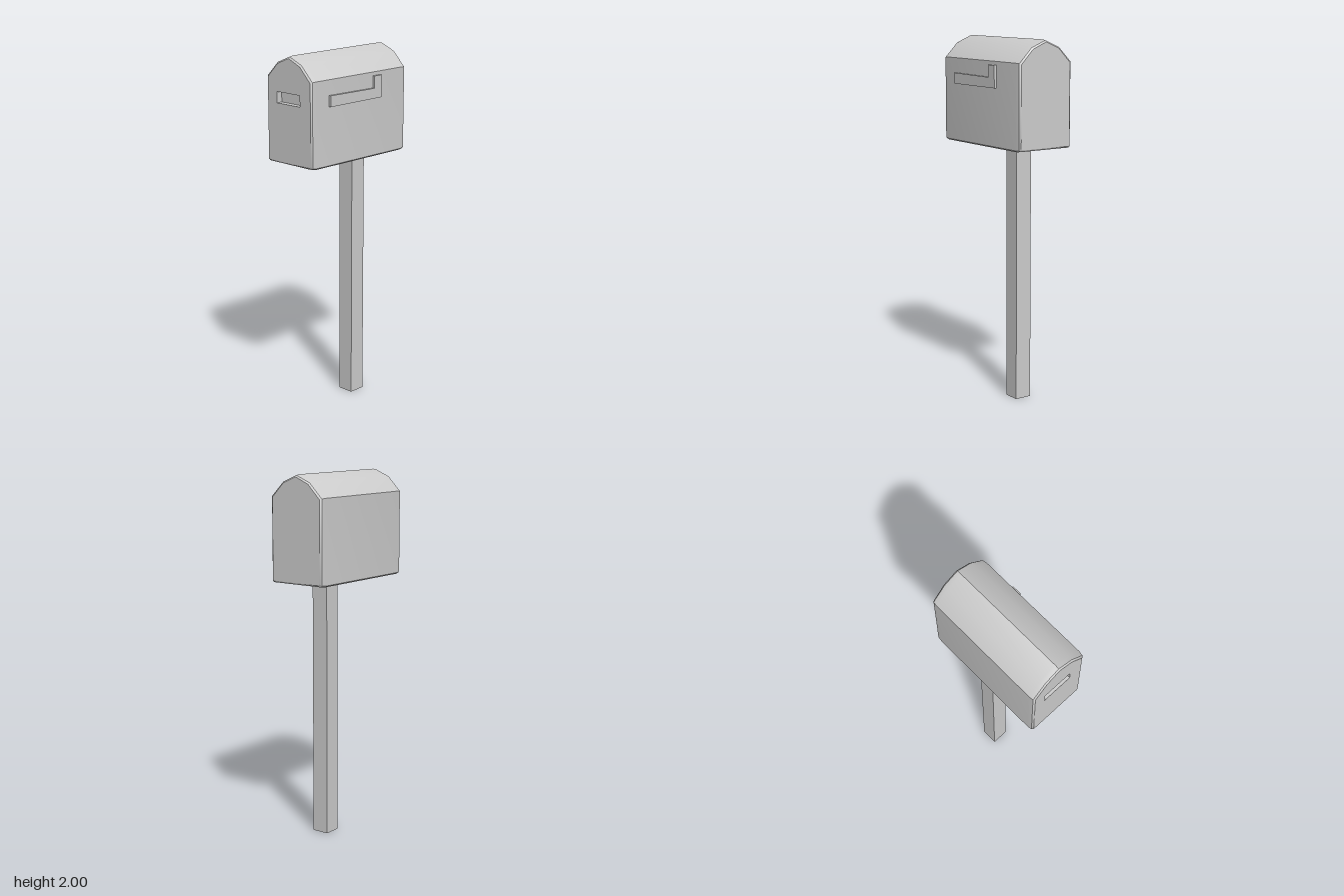
import * as THREE from 'three';
import { toCreasedNormals } from 'three/addons/utils/BufferGeometryUtils.js';

const material = new THREE.MeshStandardMaterial({ color: 0xcccccc });

// Half of the arched box section, bottom to ridge, then mirrored
const half = [[0.162, 1.42], [0.17, 1.428], [0.17, 1.883], [0.09, 1.963], [0, 2]];
const section = [...half, ...half.slice(0, -1).reverse().map(([x, y]) => [-x, y])];
const slot = [[-0.091, 1.745], [0.081, 1.745], [0.081, 1.805], [-0.091, 1.805]];

const inset = (d) => section.map(([x, y]) => [x * (1 - d / 0.17), 1.71 + (y - 1.71) * (1 - d / 0.29)]);
const path = (points, Type = THREE.Shape) => new Type(points.map(([x, y]) => new THREE.Vector2(x, y)));

// Joins closed outlines, each { points, z }, into a tube
function loft(rings) {
  const n = rings[0].points.length;
  const positions = rings.flatMap(({ points, z }) => points.flatMap(([x, y]) => [x, y, z]));
  const index = [];
  for (let r = 0; r < rings.length - 1; r++) {
    for (let j = 0; j < n; j++) {
      const a = r * n + j, b = r * n + (j + 1) % n;
      index.push(a, b, b + n, a, b + n, a + n);
    }
  }
  const geometry = new THREE.BufferGeometry();
  geometry.setAttribute('position', new THREE.Float32BufferAttribute(positions, 3));
  geometry.setIndex(index);
  return toCreasedNormals(geometry, 0.6);
}

function add(parent, name, geometry) {
  const mesh = new THREE.Mesh(geometry, material);
  mesh.name = name;
  parent.add(mesh);
  return mesh;
}

export function createModel() {
  const model = new THREE.Group();
  model.name = 'mailbox';

  // Square post, set towards the back
  add(model, 'post', new THREE.BoxGeometry(0.096, 1.42, 0.096)).position.set(-0.009, 0.71, -0.115);

  const box = new THREE.Group();
  box.name = 'box';
  box.position.x = -0.007;
  model.add(box);

  // Shell with softly bevelled ends
  const endZ = 0.361;
  const bevel = [[0.012, endZ], [0.0035, 0.353], [0, 0.328]];
  const rings = [
    ...bevel.map(([d, z]) => ({ points: inset(d), z: -z })),
    ...bevel.slice().reverse().map(([d, z]) => ({ points: inset(d), z })),
  ];
  add(box, 'shell', loft(rings));

  // End panels, the front one pierced by the letter slot
  const end = inset(0.012);
  add(box, 'backPanel', new THREE.ShapeGeometry(path(end)).rotateY(Math.PI).translate(0, 0, -endZ));
  const front = path(end);
  front.holes.push(path(slot, THREE.Path));
  add(box, 'frontPanel', new THREE.ShapeGeometry(front).translate(0, 0, endZ));

  // Recess behind the slot, its walls facing inwards
  const inward = slot.slice().reverse();
  const slotZ = endZ - 0.035;
  add(box, 'slotWalls', loft([{ points: inward, z: slotZ }, { points: inward, z: endZ }]));
  add(box, 'slotBack', new THREE.ShapeGeometry(path(slot)).translate(0, 0, slotZ));

  // L-shaped signal flag on the left side, drawn with -z to the right
  const flag = path([[-0.237, 1.742], [0.151, 1.742], [0.151, 1.863], [0.097, 1.863],
    [0.097, 1.797], [-0.237, 1.801]]);
  const flagGeometry = new THREE.ExtrudeGeometry(flag, { depth: 0.017, bevelEnabled: false });
  add(model, 'flag', flagGeometry.rotateY(Math.PI / 2).translate(0.159, 0, 0));

  return model;
}
